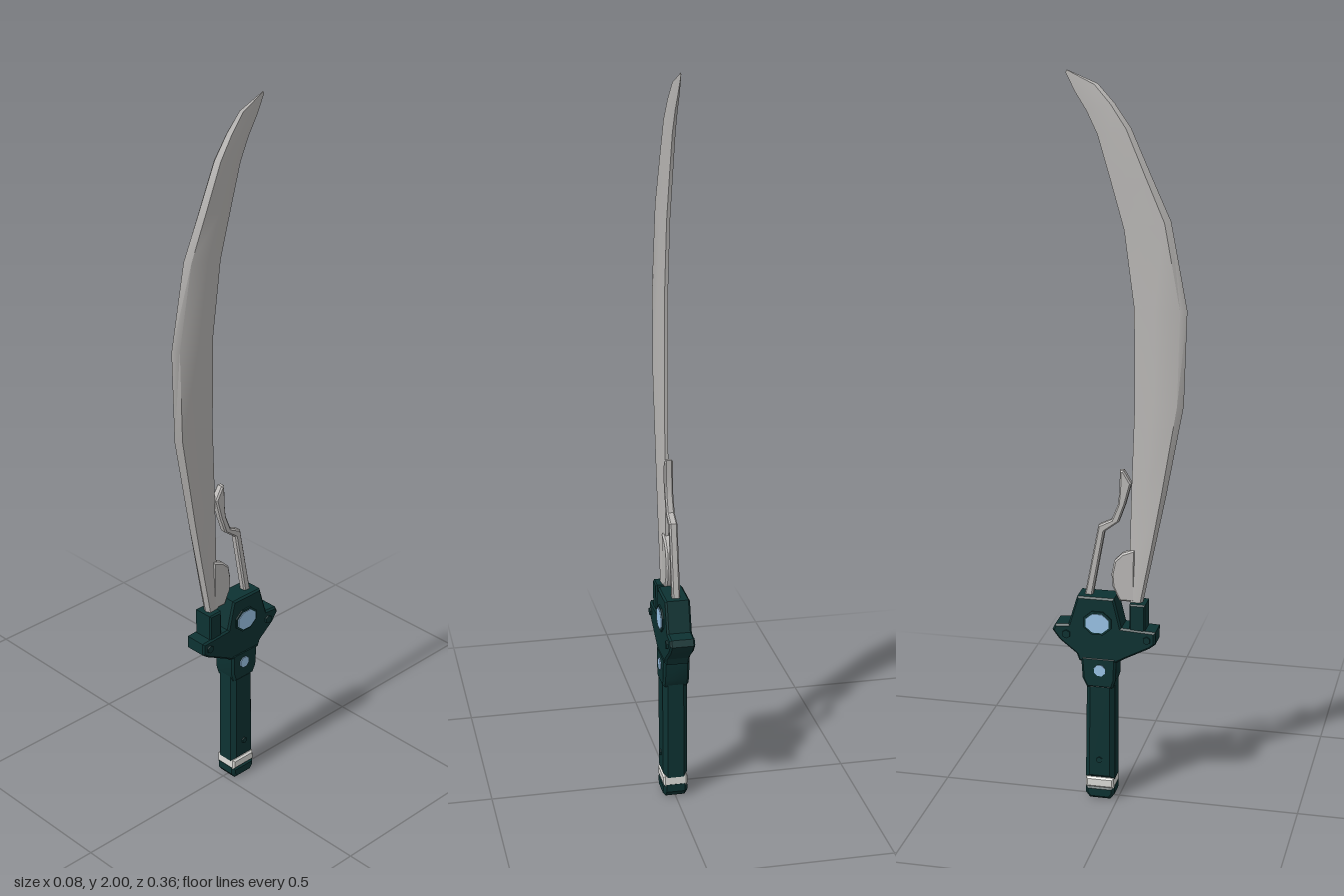
import * as THREE from 'three';
import { toCreasedNormals } from 'three/addons/utils/BufferGeometryUtils.js';

const mat = (name, color) => Object.assign(new THREE.MeshStandardMaterial({ color }), { name });

export function createModel() {
  const steel = mat('steel', 0xbab8b6);
  const green = mat('darkGreen', 0x0d3232);
  const blue = mat('paleBlue', 0x9cc6ea);
  const white = mat('white', 0xdcdcd8);
  const sword = new THREE.Group();
  sword.name = 'curvedSword';

  const add = (name, geo, material, parent = sword) => {
    const mesh = new THREE.Mesh(geo, material);
    mesh.name = name;
    parent.add(mesh);
    return mesh;
  };

  // Side profile of [z, y] points, thickened across x with a bevelled rim
  const slab = (name, points, halfWidth, bevel, material) => {
    const shape = new THREE.Shape(points.map(([z, y]) => new THREE.Vector2(z, y)));
    const depth = 2 * (halfWidth - bevel);
    const geo = new THREE.ExtrudeGeometry(shape, {
      depth, bevelEnabled: bevel > 0, bevelThickness: bevel, bevelSize: bevel,
      bevelOffset: -bevel, bevelSegments: 1,
    });
    geo.translate(0, 0, -depth / 2).rotateY(-Math.PI / 2);
    return add(name, toCreasedNormals(geo, 0.5), material);
  };

  // Blade: cross-sections given as front z, y, back z, y, half thickness
  const sections = [
    [0.066, 0.585, 0.015, 0.585, 0.013], [0.097, 0.74, 0.03, 0.73, 0.013],
    [0.127, 0.89, 0.034, 0.9, 0.013], [0.172, 1.14, 0.042, 1.14, 0.013],
    [0.179, 1.395, 0.04, 1.395, 0.013], [0.135, 1.625, 0.013, 1.6, 0.013],
    [0.083, 1.74, -0.021, 1.72, 0.0125], [0.03, 1.86, -0.056, 1.84, 0.0115],
    [-0.012, 1.92, -0.085, 1.9, 0.009], [-0.056, 1.968, -0.114, 1.945, 0.006],
    [-0.135, 2.0, -0.139, 1.993, 0.001],
  ];
  const half = [[0.12, 1], [0.6, 0.9], [1, 0.35]];
  const ring = [[0, 0], ...half, ...half.map(([t, w]) => [t, -w]).reverse()];
  const n = ring.length, pos = [], idx = [];
  sections.forEach(([fz, fy, bz, by, w], i) => {
    ring.forEach(([t, s], j) => {
      pos.push(s * w, fy + (by - fy) * t, fz + (bz - fz) * t);
      if (i < sections.length - 1) {
        const a = i * n + j, b = i * n + (j + 1) % n;
        idx.push(a, b, b + n, a, b + n, a + n);
      }
    });
  });
  const top = (sections.length - 1) * n;
  for (let j = 1; j < n - 1; j++) idx.push(0, j + 1, j, top, top + j, top + j + 1);
  const bladeGeo = new THREE.BufferGeometry();
  bladeGeo.setAttribute('position', new THREE.Float32BufferAttribute(pos, 3));
  bladeGeo.setIndex(idx);
  add('blade', toCreasedNormals(bladeGeo, 0.7), steel);

  // Rounded heel behind the blade and the bent prong
  slab('bladeHeel', [[0.045, 0.585], [0.002, 0.585], [-0.017, 0.625], [-0.02, 0.66],
    [-0.012, 0.7], [0.01, 0.722], [0.045, 0.735]], 0.012, 0.005, steel);
  slab('prong', [[-0.075, 0.58], [-0.097, 0.58], [-0.056, 0.797], [-0.02, 0.815],
    [-0.002, 0.86], [0.002, 0.9], [0.003, 0.955], [0.013, 0.955], [0.034, 0.92],
    [0.018, 0.86], [0, 0.81], [-0.039, 0.78]], 0.011, 0.004, steel);

  // Guard with its front socket and rear point
  slab('guard', [[0.106, 0.51], [0.106, 0.475], [0.09, 0.462], [0.02, 0.425], [-0.005, 0.41],
    [-0.105, 0.41], [-0.112, 0.43], [-0.16, 0.468], [-0.18, 0.495], [-0.172, 0.512],
    [-0.135, 0.515], [-0.11, 0.598], [-0.008, 0.598], [0.012, 0.515]], 0.034, 0.005, green);
  slab('bladeSocket', [[0.077, 0.585], [0.034, 0.585], [0.034, 0.5], [0.077, 0.5]],
    0.03, 0.004, green);

  // Collar, grip, pommel ring and pommel
  slab('collar', [[-0.002, 0.425], [-0.1, 0.425], [-0.096, 0.36], [-0.084, 0.335],
    [-0.012, 0.335], [-0.004, 0.36]], 0.036, 0.006, green);
  slab('grip', [[-0.008, 0.35], [-0.086, 0.35], [-0.09, 0.06], [-0.008, 0.06]],
    0.034, 0.012, green);
  slab('pommelRing', [[-0.01, 0.064], [-0.088, 0.064], [-0.089, 0.034], [-0.009, 0.034]],
    0.034, 0.005, white);
  slab('pommel', [[-0.008, 0.038], [-0.09, 0.038], [-0.09, 0.016], [-0.078, 0],
    [-0.02, 0], [-0.008, 0.016]], 0.034, 0.008, green);

  // Mirrored gems in rims and small side studs
  for (const s of [1, -1]) {
    const side = s > 0 ? 'left' : 'right';
    const disc = (name, r, h, sides, x, y, z, material, stretch = 1) => {
      const geo = new THREE.CylinderGeometry(r, r, h, sides).toNonIndexed();
      geo.rotateY(Math.PI / sides).rotateZ(Math.PI / 2).scale(1, 1, stretch);
      geo.computeVertexNormals();
      add(side + name, geo, material).position.set(s * x, y, z);
    };
    disc('GemRim', 0.036, 0.008, 8, 0.034, 0.526, -0.053, green, 1.15);
    disc('Gem', 0.029, 0.008, 8, 0.0365, 0.526, -0.053, blue, 1.2);
    disc('SmallGem', 0.017, 0.006, 8, 0.036, 0.388, -0.047, blue);
    disc('FrontStud', 0.011, 0.008, 6, 0.035, 0.487, 0.083, green);
    disc('RearStud', 0.012, 0.008, 6, 0.035, 0.487, -0.14, green);
    disc('GripStud', 0.009, 0.008, 6, 0.034, 0.12, -0.049, green);
  }
  return sword;
}
